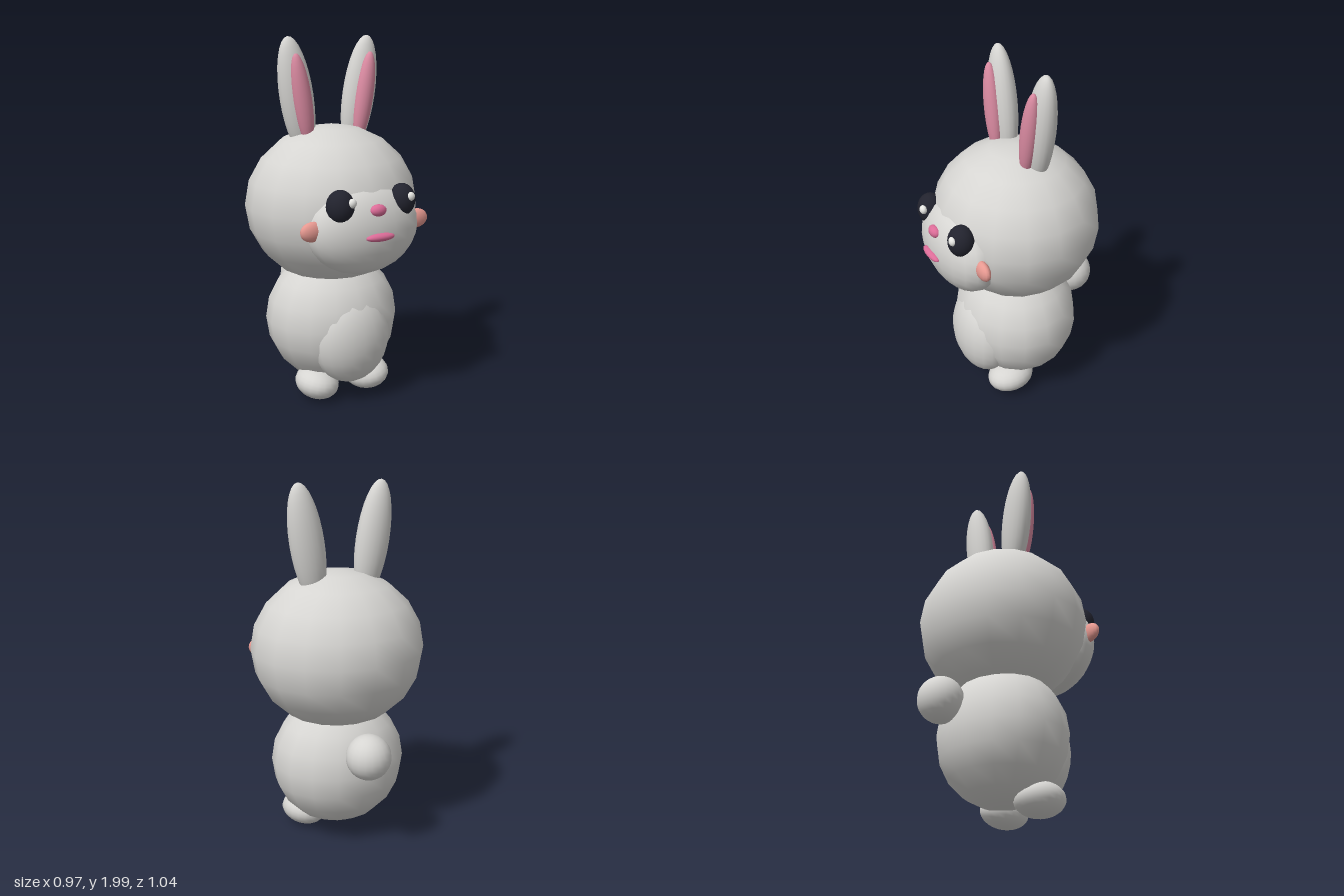
import * as THREE from 'three';

const material = (name, color) => {
  const m = new THREE.MeshStandardMaterial({ color });
  m.name = name;
  return m;
};

export function createModel() {
  const fur = material('fur', 0xd6d5d2);
  const earPink = material('earPink', 0xdb8ba2);
  const rose = material('rose', 0xdc6c98);
  const blush = material('blush', 0xe89a92);
  const dark = material('dark', 0x22232e);
  const white = material('white', 0xf4f4f0);

  const model = new THREE.Group();
  model.name = 'rabbit';

  // Every part is an ellipsoid: centre, radii and an optional tilt
  const blob = (name, mat, centre, radii, tilt = [0, 0, 0], segments = [16, 12]) => {
    const mesh = new THREE.Mesh(new THREE.SphereGeometry(1, ...segments), mat);
    mesh.name = name;
    mesh.position.set(...centre);
    mesh.scale.set(...radii);
    mesh.rotation.set(...tilt);
    model.add(mesh);
  };

  // Head, body and the raised patches on them
  blob('head', fur, [0, 1.09, -0.02], [0.483, 0.44, 0.46], undefined, [16, 10]);
  blob('muzzle', fur, [0, 1.02, 0.32], [0.325, 0.248, 0.175], undefined, [20, 14]);
  blob('body', fur, [0, 0.44, -0.02], [0.38, 0.375, 0.345], undefined, [16, 10]);
  blob('belly', fur, [0, 0.37, 0.2], [0.23, 0.26, 0.155], undefined, [20, 14]);
  blob('tail', fur, [0, 0.58, -0.402], [0.123, 0.125, 0.123], undefined, [20, 14]);

  // Nose and mouth
  blob('nose', rose, [0, 1.14, 0.467], [0.047, 0.032, 0.03]);
  blob('mouth', rose, [0, 1.005, 0.493], [0.085, 0.022, 0.027]);

  // Paired parts
  for (const [side, s] of [['left', 1], ['right', -1]]) {
    blob(side + 'Ear', fur, [s * 0.193, 1.68, -0.055], [0.095, 0.322, 0.074], [0, 0, -s * 0.16], [20, 16]);
    blob(side + 'InnerEar', earPink, [s * 0.19, 1.67, 0.008], [0.052, 0.245, 0.046], [0, 0, -s * 0.16], [20, 16]);
    blob(side + 'Eye', dark, [s * 0.185, 1.165, 0.402], [0.074, 0.088, 0.072], [0, s * 0.35, 0], [20, 14]);
    blob(side + 'Cheek', blush, [s * 0.315, 1.04, 0.35], [0.071, 0.053, 0.032]);
    blob(side + 'Foot', fur, [s * 0.16, 0.097, 0.1], [0.122, 0.09, 0.14], [0, s * 0.2, s * 0.2], [20, 14]);
  }

  // Eye highlights, both shifted to the same side
  blob('leftEyeHighlight', white, [0.201, 1.19, 0.46], [0.025, 0.025, 0.02]);
  blob('rightEyeHighlight', white, [-0.15, 1.19, 0.46], [0.025, 0.025, 0.02]);

  return model;
}
